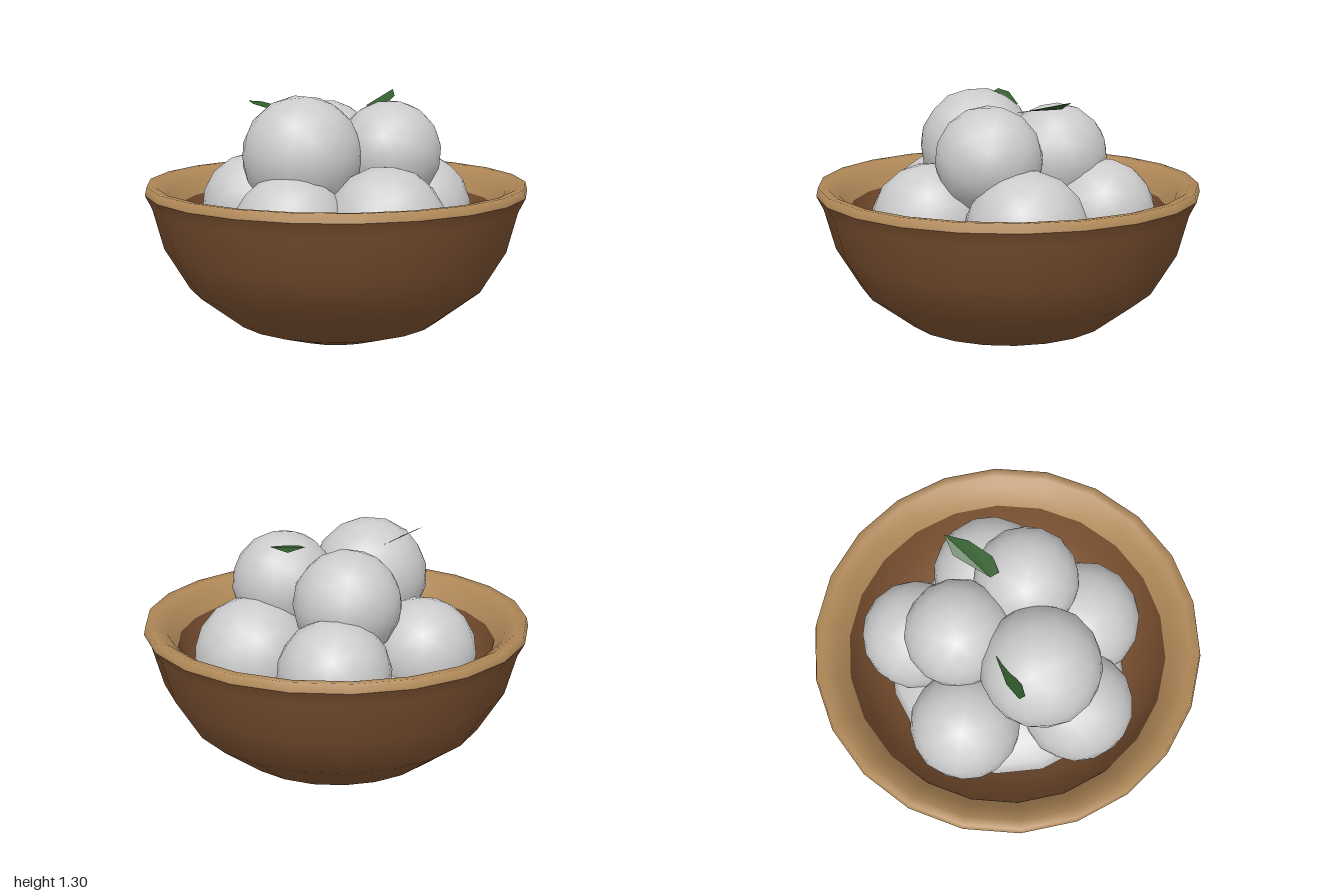
import * as THREE from 'three';

const SIDES = 22;

function makeMaterial(color, side = THREE.FrontSide) {
  const m = new THREE.MeshStandardMaterial({ color, side });
  return m;
}

// Revolve a list of [radius, height] pairs, with a corner on the x axis
function revolve(name, profile, material) {
  const pts = profile.map(([r, y]) => new THREE.Vector2(r, y));
  const mesh = new THREE.Mesh(new THREE.LatheGeometry(pts, SIDES, Math.PI / 2), material);
  mesh.name = name;
  return mesh;
}

// Leaf: a fan of flat facets from the first corner
function leaf(name, corners, material) {
  const pos = [];
  for (let i = 1; i < corners.length - 1; i++) {
    pos.push(...corners[0], ...corners[i], ...corners[i + 1]);
  }
  const g = new THREE.BufferGeometry();
  g.setAttribute('position', new THREE.Float32BufferAttribute(pos, 3));
  g.computeVertexNormals();
  const mesh = new THREE.Mesh(g, material);
  mesh.name = name;
  return mesh;
}

export function createModel() {
  const model = new THREE.Group();
  model.name = 'fruitBowl';

  const wood = makeMaterial(0x7a5030);
  const paleWood = makeMaterial(0xb08858);
  const grey = makeMaterial(0xcccccc);
  const green = makeMaterial(0x335f2e, THREE.DoubleSide);

  // Bowl: outer wall, broad rounded rim, inner wall
  model.add(
    revolve('bowlOuter', [
      [0, 0.005], [0.29, 0.03], [0.55, 0.12], [0.78, 0.3], [0.91, 0.52], [0.965, 0.73], [1, 0.8],
    ], wood),
    revolve('bowlRim', [
      [1, 0.8], [0.99, 0.845], [0.945, 0.84], [0.885, 0.8], [0.83, 0.72],
    ], paleWood),
    revolve('bowlInner', [
      [0.83, 0.72], [0.78, 0.54], [0.66, 0.36], [0.46, 0.2], [0.24, 0.12], [0, 0.1],
    ], wood),
  );

  // Fruit: x, y, z, radius
  const fruits = [
    // upper three
    [0.05, 1.0, 0.26, 0.308],
    [0.21, 1.0, -0.185, 0.272],
    [-0.225, 0.975, -0.1, 0.275],
    // lower ring of five
    [-0.385, 0.69, -0.3, 0.285],
    [0.13, 0.67, -0.43, 0.31],
    [0.435, 0.66, 0.03, 0.31],
    [0.18, 0.645, 0.43, 0.295],
    [-0.385, 0.69, 0.26, 0.285],
  ];
  const pile = new THREE.Group();
  pile.name = 'fruitPile';
  const ball = new THREE.IcosahedronGeometry(1, 2);
  fruits.forEach(([x, y, z, r], i) => {
    const fruit = new THREE.Mesh(ball, grey);
    fruit.name = 'fruit' + (i + 1);
    fruit.position.set(x, y, z);
    fruit.rotation.set(i * 0.7, i * 1.3, i * 0.4);
    fruit.scale.setScalar(r);
    pile.add(fruit);
  });

  // Flattened core that fills the gaps under the fruit
  const core = new THREE.Mesh(new THREE.SphereGeometry(1, 16, 10), grey);
  core.name = 'fruitCore';
  core.position.y = 0.5;
  core.rotation.y = Math.PI / 16;
  core.scale.set(0.63, 0.22, 0.63);
  pile.add(core);
  model.add(pile);

  // Leaves
  model.add(
    leaf('backLeaf', [
      [0.01, 1.23, -0.19], [0.06, 1.23, -0.195], [0.07, 1.24, -0.28],
      [0.0, 1.27, -0.4], [-0.095, 1.3, -0.47], [-0.1, 1.255, -0.37],
    ], green),
    leaf('frontLeaf', [
      [-0.155, 1.215, 0.175], [-0.14, 1.23, 0.26], [-0.12, 1.24, 0.37],
      [-0.135, 1.26, 0.43], [-0.17, 1.275, 0.435], [-0.187, 1.265, 0.34],
    ], green),
  );

  return model;
}
